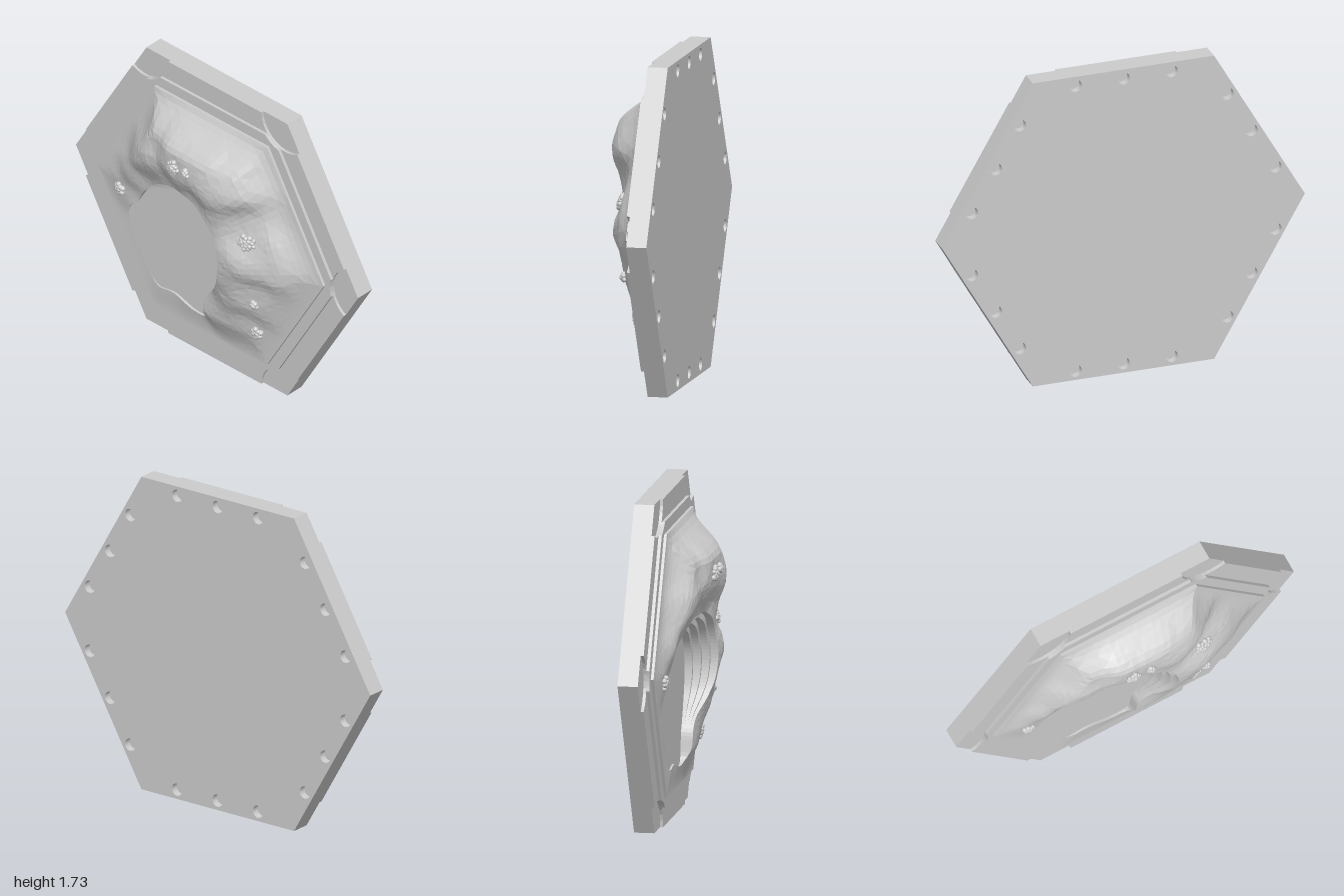
import * as THREE from 'three';

const MID = 0.866; // height of the tile's centre
const BASE = -0.035; // level the terrain rises from
const rad = THREE.MathUtils.degToRad;

let seed = 7;
const rand = () => (seed = (seed * 16807) % 2147483647) / 2147483647;

const mat = (opts = {}) => new THREE.MeshStandardMaterial({ color: 0xcccccc, ...opts });
const polar = (r, deg) => new THREE.Vector2(r * Math.cos(rad(deg)), r * Math.sin(rad(deg)));

function hexPoints(r) {
  return Array.from({ length: 6 }, (_, i) => polar(r, i * 60));
}

// Hexagon whose corners are bitten out by circles centred on the tile corners
function notchedHex(halfAngle, bite = 0.17) {
  const pts = [];
  for (let i = 0; i < 6; i++) {
    const corner = polar(1, i * 60);
    for (let k = 0; k <= 10; k++) {
      pts.push(polar(bite, i * 60 + 180 + halfAngle * (1 - k / 5)).add(corner));
    }
  }
  return pts;
}

function slab(name, pts, z0, z1, holes = []) {
  const shape = new THREE.Shape(pts);
  shape.holes = holes;
  const geo = new THREE.ExtrudeGeometry(shape, { depth: z1 - z0, bevelEnabled: false, curveSegments: 16 });
  const mesh = new THREE.Mesh(geo, mat());
  mesh.name = name;
  mesh.position.set(0, MID, z0);
  return mesh;
}

// Three round sockets along each edge of the back
function socketHoles() {
  const holes = [];
  for (let i = 0; i < 6; i++) {
    for (const s of [-0.265, 0, 0.265]) {
      const c = polar(MID - 0.052, 30 + i * 60).add(polar(s, 120 + i * 60));
      holes.push(new THREE.Path().absarc(c.x, c.y, 0.034, 0, Math.PI * 2, true));
    }
  }
  return holes;
}

// Known heights of the hills: x, y, z
const HILLS = [
  [-0.62, 0.82, -0.005], [-0.66, 0.92, -0.005], [-0.52, 0.98, 0.05], [-0.45, 1.15, 0.085],
  [-0.3, 1.17, 0.125], [-0.3, 1.35, 0.1], [-0.1, 1.21, 0.155], [-0.1, 1.33, 0.155],
  [0.05, 1.25, 0.175], [0.18, 1.22, 0.185], [0.1, 1.4, 0.155], [0.28, 1.27, 0.165],
  [0.16, 1.08, 0.15], [0.28, 1.42, 0.12], [0.4, 1.32, 0.08], [0.27, 1.05, 0.1],
  [0.36, 1.1, 0.05], [0.45, 1.15, 0.02], [0.55, 1.2, -0.01], [0.38, 1.0, 0.075],
  [0.5, 1.0, 0.06], [0.28, 0.85, 0.16], [0.38, 0.87, 0.135], [0.5, 0.88, 0.085],
  [0.62, 0.9, 0.035], [0.26, 0.7, 0.125], [0.36, 0.66, 0.08], [0.47, 0.68, 0.045],
  [0.46, 0.57, 0.04], [0.56, 0.6, 0.01], [0.2, 0.55, 0.085], [0.1, 0.43, 0.05],
  [0.25, 0.4, 0.035], [0.37, 0.38, 0.005], [0.15, 0.3, 0.02], [0.3, 0.25, -0.01],
  [-0.1, 0.24, -0.01], [-0.3, 0.26, -0.02], [-0.6, 0.6, -0.03], [-0.5, 0.42, -0.03],
];
const SHORE = [
  [-0.5, 0.8, -0.025], [-0.42, 0.93, 0], [-0.3, 1.03, 0.03], [-0.18, 1.09, 0.06],
  [0, 1.1, 0.09], [0.12, 1.0, 0.11], [0.2, 0.85, 0.12], [0.03, 0.46, 0.02],
];
const FOOT = [
  [-0.6, 1.15, -0.01], [-0.45, 1.4, 0.02], [0.45, 1.42, 0.03], [0.65, 1.05, 0.01], [0.72, 0.87, 0],
];
const CONTROL = [...HILLS, ...SHORE, ...FOOT];

// Smooth blend of the known heights, easing down to the base level at the hexagon's edge
function heightAt(x, y) {
  let sum = -0.03 * 0.001, weight = 0.001, edge = 1;
  for (const [px, py, pz] of CONTROL) {
    const w = Math.exp(-((x - px) ** 2 + (y - py) ** 2) / 0.01);
    sum += w * pz;
    weight += w;
  }
  for (let k = 0; k < 6; k++) {
    edge = Math.min(edge, 0.6928 - polar(1, 30 + k * 60).dot(new THREE.Vector2(x, y - MID)));
  }
  const rise = Math.max(0.005, sum / weight - BASE);
  return BASE + rise * THREE.MathUtils.smoothstep(edge, -0.01, 0.19);
}

// Surface through rows of points: column runs counter-clockwise, row runs outward
function gridSurface(name, columns) {
  const rows = columns[0].length, n = columns.length, index = [];
  for (let i = 0; i < n; i++) {
    for (let j = 0; j < rows - 1; j++) {
      const a = i * rows + j, d = ((i + 1) % n) * rows + j;
      if ((i + j) % 2) index.push(a, a + 1, d + 1, a, d + 1, d);
      else index.push(a, a + 1, d, a + 1, d + 1, d);
    }
  }
  const geo = new THREE.BufferGeometry().setFromPoints(columns.flat());
  geo.setIndex(index);
  geo.computeVertexNormals();
  const mesh = new THREE.Mesh(geo, mat({ flatShading: true, side: THREE.DoubleSide }));
  mesh.name = name;
  return mesh;
}

function createTerrain() {
  const group = new THREE.Group();
  group.name = 'terrain';
  const centre = new THREE.Vector2(-0.2, 0.68);
  const outline = [
    [0.2, 0.8], [0.17, 0.93], [0.08, 1.04], [-0.05, 1.09], [-0.2, 1.07], [-0.33, 1.0],
    [-0.43, 0.9], [-0.5, 0.79], [-0.57, 0.7], [-0.55, 0.55], [-0.46, 0.41], [-0.37, 0.31],
    [-0.25, 0.32], [-0.1, 0.28], [-0.02, 0.29], [0.02, 0.45], [0.1, 0.55], [0.17, 0.66],
  ].map(([x, y]) => new THREE.Vector3(x, y, 0));
  const shore = new THREE.CatmullRomCurve3(outline, true).getSpacedPoints(120).slice(0, -1)
    .map((p) => new THREE.Vector2(p.x, p.y));

  // Where the ray through each shore point meets the terrain's hexagon
  const outer = shore.map((p) => {
    const dir = p.clone().sub(centre).normalize();
    let reach = Infinity;
    for (let k = 0; k < 6; k++) {
      const n = polar(1, 30 + k * 60), along = n.dot(dir);
      const gap = 0.6928 - n.dot(new THREE.Vector2(centre.x, centre.y - MID));
      if (along > 1e-6) reach = Math.min(reach, gap / along);
    }
    return centre.clone().addScaledVector(dir, reach);
  });
  for (const c of hexPoints(0.8)) {
    c.y += MID;
    outer.reduce((a, b) => (a.distanceTo(c) < b.distanceTo(c) ? a : b)).copy(c);
  }

  // Hills from the shore to the hexagon's edge, rougher where they are higher
  const last = 18;
  const hills = shore.map((p, i) => Array.from({ length: last + 1 }, (_, j) => {
    const q = p.clone().lerp(outer[i], j / last);
    const z = j === last ? BASE : heightAt(q.x, q.y);
    const rough = j === 0 ? 0 : (rand() - 0.5) * 0.03 * Math.min(0.12, z - BASE);
    return new THREE.Vector3(q.x, q.y, z + rough);
  }));
  group.add(gridSurface('hills', hills));

  // Terraced bank stepping down to the pond, widest at the upper right
  const floor = BASE + 0.002, steps = 4;
  const bank = shore.map((p) => {
    const dir = p.clone().sub(centre).normalize();
    const width = 0.1 * Math.max(0, dir.dot(polar(1, 50)));
    const top = heightAt(p.x, p.y), column = [];
    for (let k = 0; k < steps; k++) {
      const q = p.clone().addScaledVector(dir, -width * (1 - k / (steps - 1)));
      for (const s of [k, k + 1]) {
        column.push(new THREE.Vector3(q.x, q.y, floor + (top - floor) * s / steps));
      }
    }
    return column;
  });
  group.add(gridSurface('terracedBank', bank));

  const pond = new THREE.Mesh(
    new THREE.ShapeGeometry(new THREE.Shape(bank.map((c) => new THREE.Vector2(c[0].x, c[0].y)))), mat());
  pond.name = 'pond';
  pond.position.z = floor;
  group.add(pond);
  return group;
}

// Clump of little balls sitting on the hillside
function createBush(x, y, w, h, count) {
  const bush = new THREE.Group();
  bush.name = 'bush';
  const ball = new THREE.IcosahedronGeometry(0.015, 1), material = mat({ flatShading: true });
  for (let i = 0; i < count; i++) {
    const a = i * 2.4, r = Math.sqrt((i + 0.3) / count);
    const px = x + w * r * Math.cos(a), py = y + h * r * Math.sin(a);
    const m = new THREE.Mesh(ball, material);
    m.name = 'leafBall';
    m.position.set(px, py, heightAt(px, py) + 0.006 + 0.012 * (1 - r));
    m.scale.setScalar(0.8 + 0.35 * rand());
    bush.add(m);
  }
  return bush;
}

export function createModel() {
  const model = new THREE.Group();
  model.name = 'hexTerrainTile';
  // Base plate, with sockets in the back layer
  model.add(slab('socketLayer', hexPoints(1), -0.19, -0.15, socketHoles()));
  model.add(slab('basePlate', hexPoints(1), -0.15, -0.083));
  // Stepped rim
  model.add(slab('outerRim', notchedHex(60), -0.083, -0.067));
  model.add(slab('middleRim', notchedHex(18.5), -0.067, -0.05));
  model.add(slab('innerRim', hexPoints(0.8), -0.05, BASE));
  model.add(createTerrain());
  // Bushes: x, y, half width, half height, balls
  for (const b of [
    [-0.085, 1.3, 0.033, 0.038, 14], [0.015, 1.31, 0.018, 0.018, 7], [0.37, 1.0, 0.05, 0.036, 17],
    [0.4, 0.605, 0.019, 0.019, 7], [0.37, 0.38, 0.024, 0.036, 10], [-0.615, 0.815, 0.024, 0.038, 10],
  ]) model.add(createBush(...b));
  return model;
}
